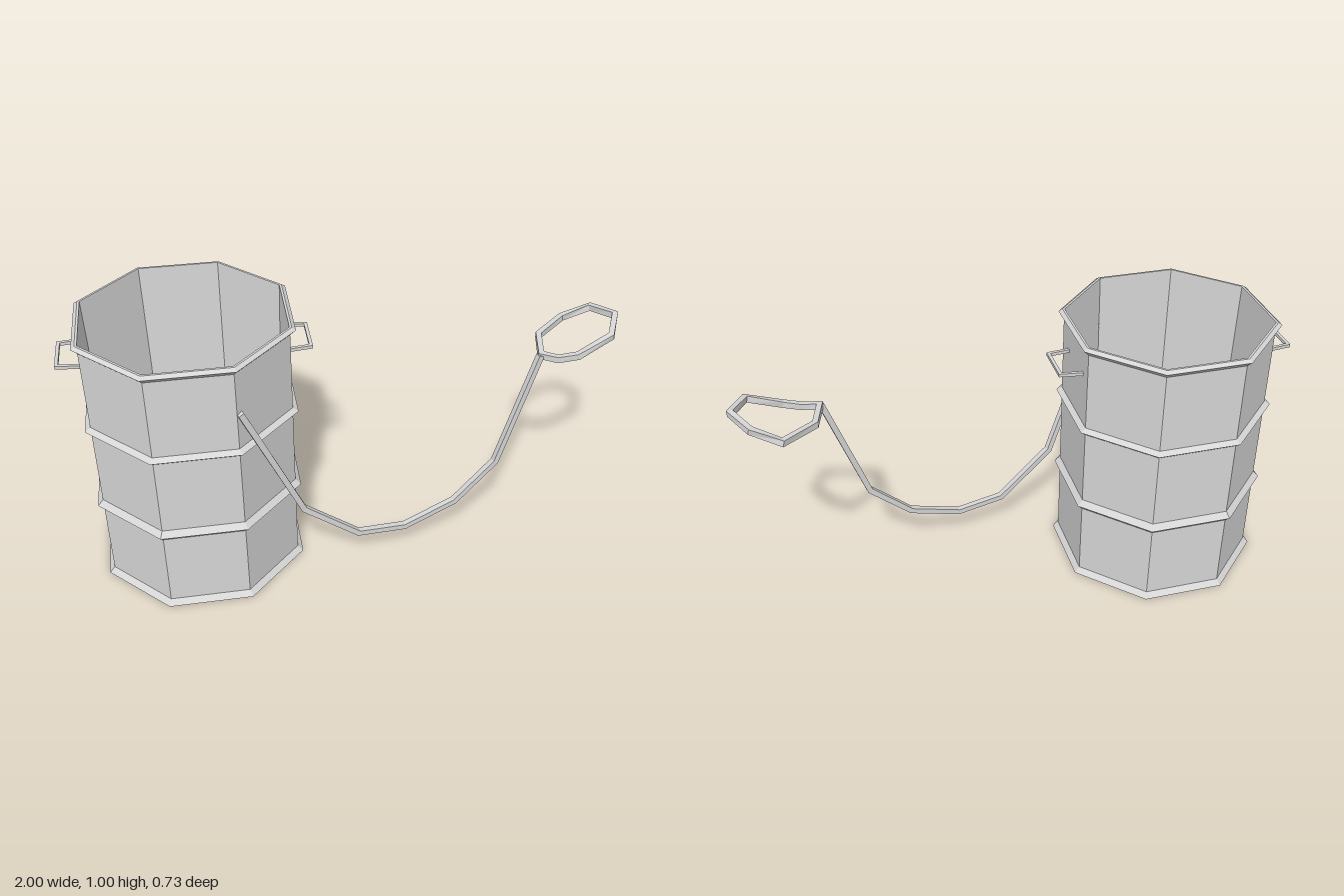
import * as THREE from 'three';

const V = (p) => new THREE.Vector3(...p);

// Square rod swept along a polyline with mitred corners
function squareRod(path, width, height, closed = false) {
  const pts = path.map(V);
  const n = pts.length;
  const up = new THREE.Vector3(0, 1, 0);
  const pos = [];
  const idx = [];
  for (let i = 0; i < n; i++) {
    const prev = closed ? pts[(i + n - 1) % n] : pts[Math.max(i - 1, 0)];
    const next = closed ? pts[(i + 1) % n] : pts[Math.min(i + 1, n - 1)];
    const d1 = pts[i].clone().sub(prev).normalize();
    const d2 = next.clone().sub(pts[i]).normalize();
    const t = d1.clone().add(d2).normalize();
    const side = t.clone().cross(up).normalize();
    const top = side.clone().cross(t).normalize();
    const bend = d2.clone().sub(d1);
    const isEnd = !closed && (i === 0 || i === n - 1);
    const stretch = isEnd ? 0 : 1 / t.dot(d2) - 1;
    if (bend.lengthSq() > 0) bend.normalize();
    for (const [a, b] of [[1, 1], [-1, 1], [-1, -1], [1, -1]]) {
      const o = side.clone().multiplyScalar(a * width / 2).addScaledVector(top, b * height / 2);
      o.addScaledVector(bend, o.dot(bend) * stretch).add(pts[i]);
      pos.push(o.x, o.y, o.z);
    }
  }
  for (let i = 0; i < (closed ? n : n - 1); i++) {
    const r0 = i * 4;
    const r1 = ((i + 1) % n) * 4;
    for (let j = 0; j < 4; j++) {
      const k = (j + 1) % 4;
      idx.push(r0 + j, r1 + j, r1 + k, r0 + j, r1 + k, r0 + k);
    }
  }
  if (!closed) {
    const e = (n - 1) * 4;
    idx.push(0, 1, 2, 0, 2, 3, e, e + 2, e + 1, e, e + 3, e + 2);
  }
  const g = new THREE.BufferGeometry();
  g.setAttribute('position', new THREE.Float32BufferAttribute(pos, 3));
  g.setIndex(idx);
  g.computeVertexNormals();
  return g;
}

export function createModel() {
  const group = new THREE.Group();
  const metal = new THREE.MeshStandardMaterial({ color: 0xd6d6d6, flatShading: true });
  metal.name = 'grey metal';

  const add = (name, geometry) => {
    const mesh = new THREE.Mesh(geometry, metal);
    mesh.name = name;
    group.add(mesh);
    return mesh;
  };

  // Open octagonal barrel: flared foot, two hoops, rim, tapered inside and floor
  const body = 0.346;
  const flare = 0.365;
  const profile = [
    [0, 0], [flare, 0], [body, 0.02],
    [body, 0.31], [flare, 0.33], [body, 0.351],
    [body, 0.644], [flare, 0.66], [body, 0.673],
    [body, 0.97], [flare, 0.99], [0.352, 1.0],
    [0.344, 1], [0.32, 0.03], [0, 0.03],
  ].map(([apothem, y]) => new THREE.Vector2(apothem / Math.cos(Math.PI / 8), y));
  add('barrel', new THREE.LatheGeometry(profile, 8, Math.PI / 8)).position.x = -0.56;

  // Carrying handles, ending inside the thickness of the wall
  const y = 0.868;
  add('leftHandle', squareRod(
    [[-0.216, y, -0.091], [-0.135, y, -0.08], [-0.135, y, 0.066], [-0.216, y, 0.075]], 0.012, 0.012));
  add('rightHandle', squareRod(
    [[-0.904, y, 0.062], [-0.993, y, 0.052], [-0.993, y, -0.095], [-0.904, y, -0.105]], 0.012, 0.012));

  // Hanging rope fixed to the front corner of the barrel
  add('rope', squareRod([
    [-0.407, 0.812, 0.341], [-0.2, 0.309, 0.261], [0.006, 0.135, 0.229], [0.188, 0.117, 0.202],
    [0.384, 0.187, 0.17], [0.539, 0.336, 0.143], [0.683, 0.768, 0.105],
  ], 0.022, 0.021));

  // Noose at the free end
  add('ropeLoop', squareRod([
    [0.686, 0.766, 0.101], [0.715, 0.771, -0.022], [0.832, 0.78, -0.116], [0.93, 0.829, -0.092],
    [0.987, 0.845, 0.004], [0.935, 0.828, 0.115], [0.812, 0.772, 0.137], [0.743, 0.758, 0.125],
  ], 0.02, 0.023, true));

  return group;
}
